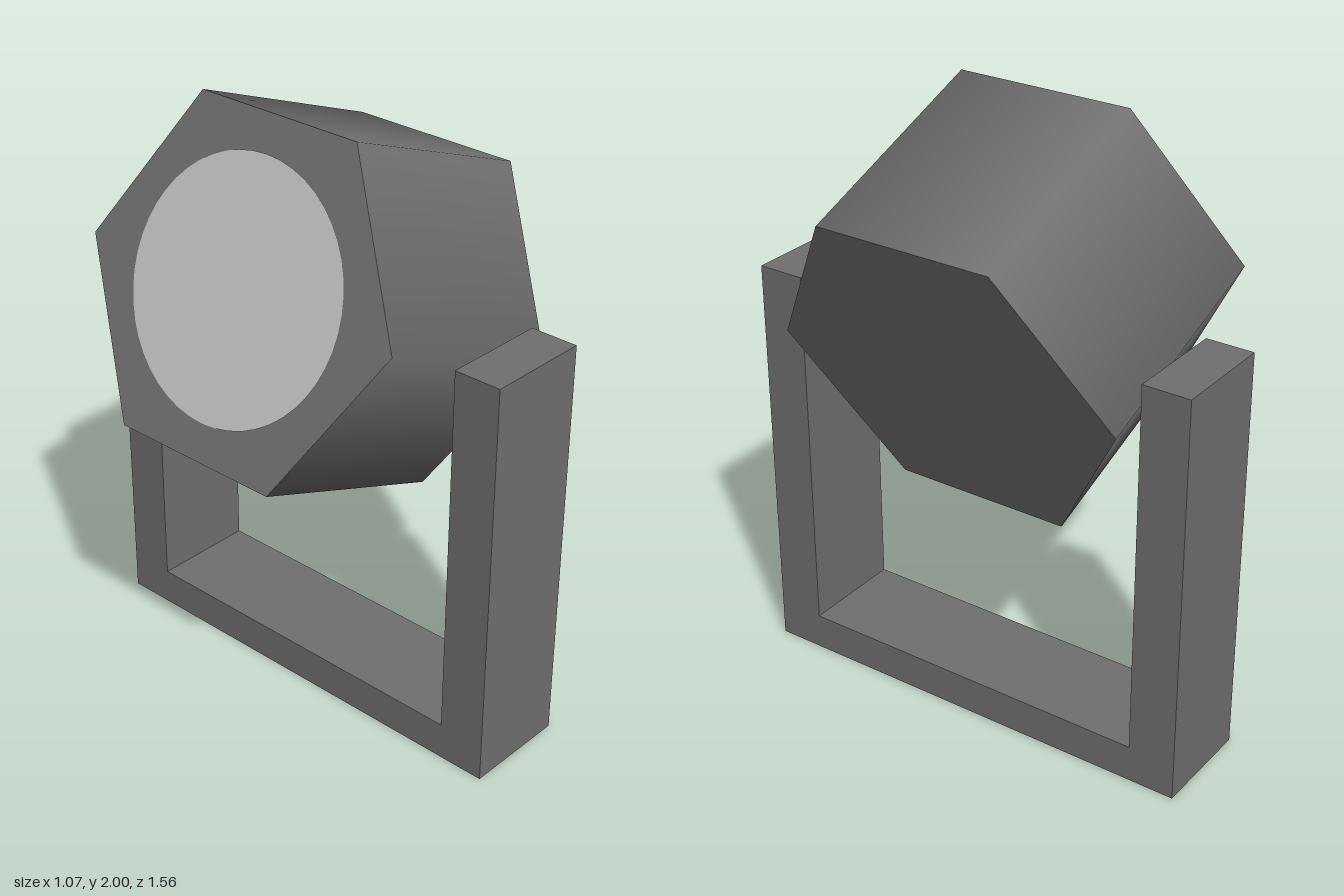
import * as THREE from 'three';

export function createModel() {
  const model = new THREE.Group();
  model.name = 'spotlight';

  const housingGrey = new THREE.MeshStandardMaterial({ color: 0x707070 });
  housingGrey.name = 'housing grey';
  const lensGrey = new THREE.MeshStandardMaterial({ color: 0xc4c4c4 });
  lensGrey.name = 'lens light grey';

  const add = (parent, name, geometry, material) => {
    const mesh = new THREE.Mesh(geometry, material);
    mesh.name = name;
    parent.add(mesh);
    return mesh;
  };

  // U-shaped bracket: profile across the width, extruded along x
  const outer = 0.78, inner = 0.62, top = 1.385, floor = 0.125;
  const profile = new THREE.Shape([
    [-outer, 0], [outer, 0], [outer, top], [inner, top],
    [inner, floor], [-inner, floor], [-inner, top], [-outer, top],
  ].map(([x, y]) => new THREE.Vector2(x, y)));
  const bracket = new THREE.ExtrudeGeometry(profile, { depth: 0.355, bevelEnabled: false });
  bracket.rotateY(Math.PI / 2).translate(-0.1, 0, 0);
  add(model, 'bracket', bracket, housingGrey);

  // Tilted lamp head: its local +y points out through the lens
  const head = new THREE.Group();
  head.name = 'lampHead';
  head.position.set(0, 1.382, 0);
  head.rotation.z = THREE.MathUtils.degToRad(69);
  model.add(head);

  // Six-sided housing with smooth side normals
  const length = 0.75;
  add(head, 'housing', new THREE.CylinderGeometry(0.6, 0.6, length, 6), housingGrey);

  // Thin round lens on the upper end
  const lens = add(head, 'lens', new THREE.CircleGeometry(0.405, 48), lensGrey);
  lens.rotation.x = -Math.PI / 2;
  lens.position.y = length / 2 + 0.003;

  return model;
}
